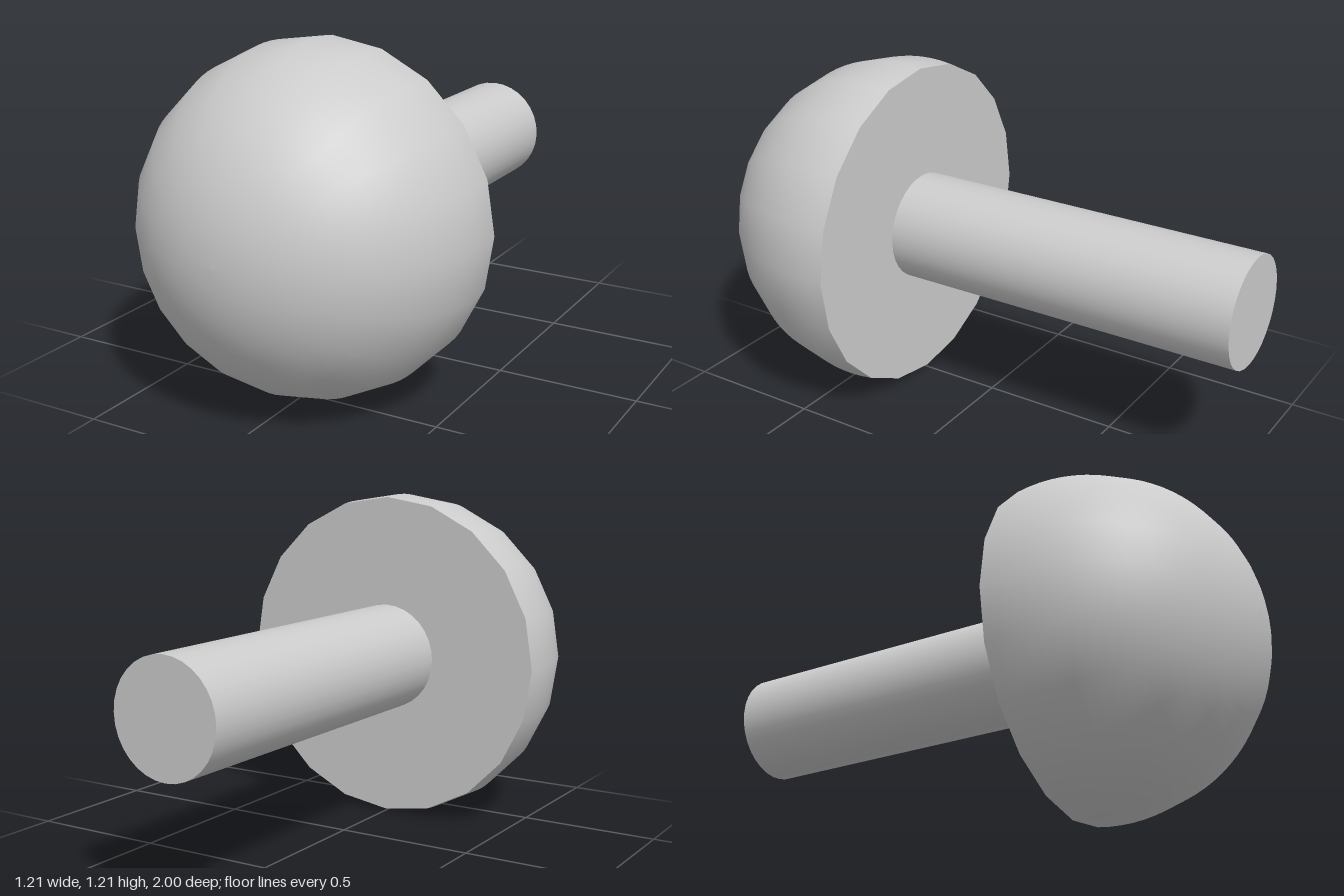
import * as THREE from 'three';

export function createModel() {
  const group = new THREE.Group();
  const material = new THREE.MeshStandardMaterial({ color: 0xcccccc });
  const radius = 0.605, centerY = 0.61, centerZ = 0.395, backZ = 0.3, sides = 20;

  const add = (name, geometry, z) => {
    const mesh = new THREE.Mesh(geometry, material);
    mesh.name = name;
    mesh.position.set(0, centerY, z);
    group.add(mesh);
  };

  // Domed head: circular arc from the rim at the back to the front pole
  const start = Math.asin((backZ - centerZ) / radius);
  const rings = 24;
  const profile = [];
  for (let i = 0; i <= rings; i++) {
    const a = start + (Math.PI / 2 - start) * i / rings;
    profile.push(new THREE.Vector2(i === rings ? 0 : radius * Math.cos(a), radius * Math.sin(a)));
  }
  add('head', new THREE.LatheGeometry(profile, sides).rotateX(Math.PI / 2), centerZ);

  // Flat back of the head
  add('headBack', new THREE.CircleGeometry(radius * Math.cos(start), sides).rotateY(Math.PI), backZ);

  // Round stem running backwards
  const length = backZ + 1;
  add('stem', new THREE.CylinderGeometry(0.196, 0.196, length, 32).rotateX(Math.PI / 2), backZ - length / 2);

  return group;
}
